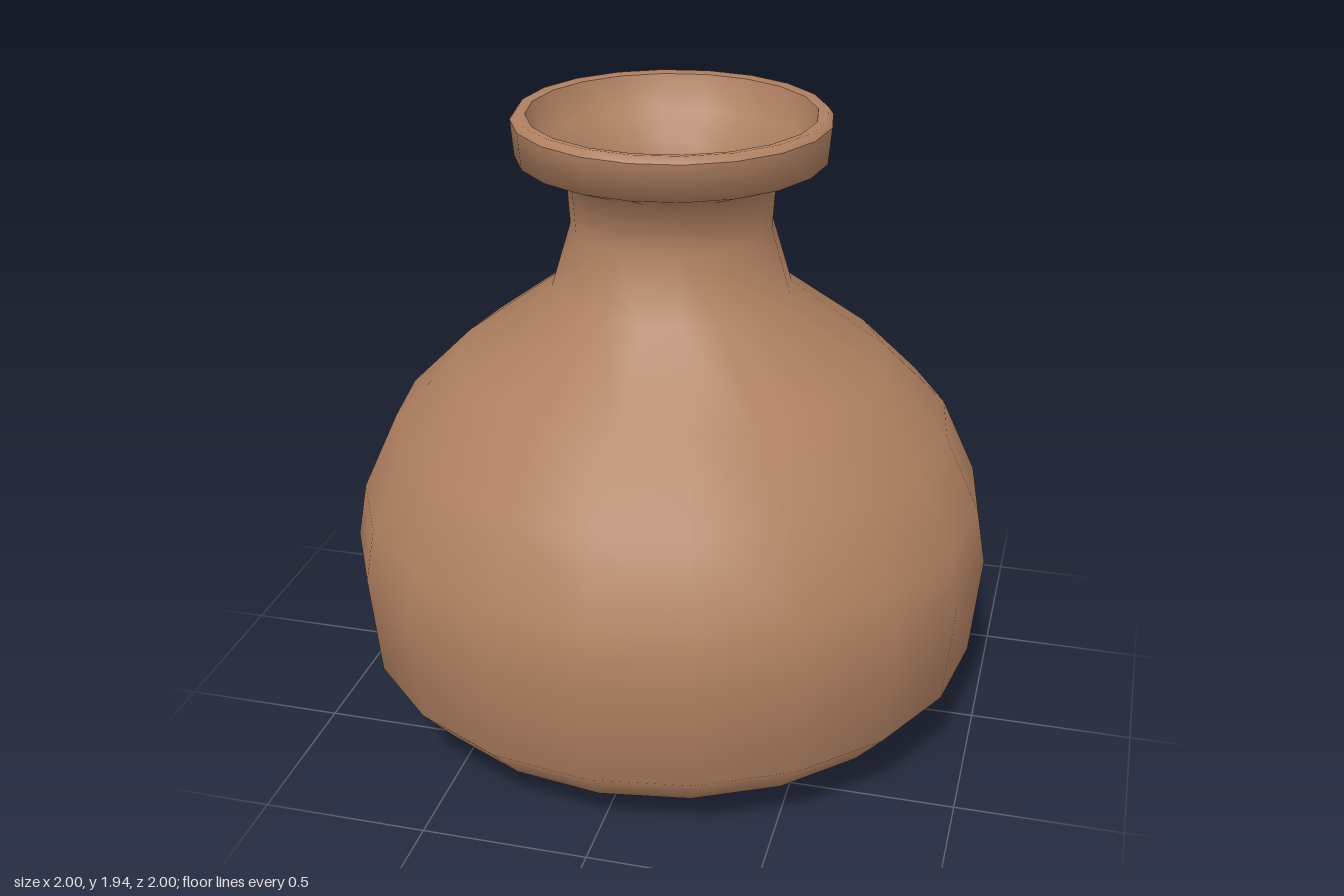
import * as THREE from 'three';

const SIDES = 20;

export function createModel() {
  const pot = new THREE.Group();
  pot.name = 'pot';
  const clay = new THREE.MeshStandardMaterial({ color: 0xb08061 });
  clay.name = 'brown clay';

  // Each part is a turned profile of [radius, height]; separate parts keep sharp seams
  const turn = (name, profile) => {
    const points = profile.map(([r, y]) => new THREE.Vector2(r, y));
    const mesh = new THREE.Mesh(new THREE.LatheGeometry(points, SIDES), clay);
    mesh.name = name;
    pot.add(mesh);
  };

  // Hollow underside: dips to the drain hole, thin foot ring around it
  turn('underside', [[0.18, 0], [0.4, 0.05], [0.6, 0.1]]);
  turn('footInside', [[0.6, 0.1], [0.64, 0.015]]);
  turn('footEdge', [[0.64, 0.015], [0.655, 0.015]]);
  turn('footOutside', [[0.655, 0.015], [0.65, 0.08]]);

  // Rounded belly, shoulder, neck and flared collar
  turn('body', [
    [0.65, 0.08], [0.86, 0.125], [0.97, 0.25], [1, 0.57], [0.97, 0.74],
    [0.86, 0.98], [0.66, 1.18], [0.365, 1.4], [0.305, 1.6], [0.315, 1.75],
    [0.465, 1.81], [0.475, 1.92],
  ]);
  turn('lip', [[0.475, 1.92], [0.46, 1.94], [0.43, 1.935]]);

  // Inner wall, from the lip down to the floor
  turn('inside', [
    [0.43, 1.935], [0.4, 1.83], [0.3, 1.75], [0.285, 1.6], [0.335, 1.4],
    [0.63, 1.16], [0.83, 0.96], [0.94, 0.73], [0.97, 0.57], [0.94, 0.27],
    [0.84, 0.16], [0.6, 0.12],
  ]);
  turn('floor', [[0.6, 0.12], [0.4, 0.07], [0.18, 0.015]]);
  turn('drainHole', [[0.18, 0.015], [0.18, 0]]);

  return pot;
}
